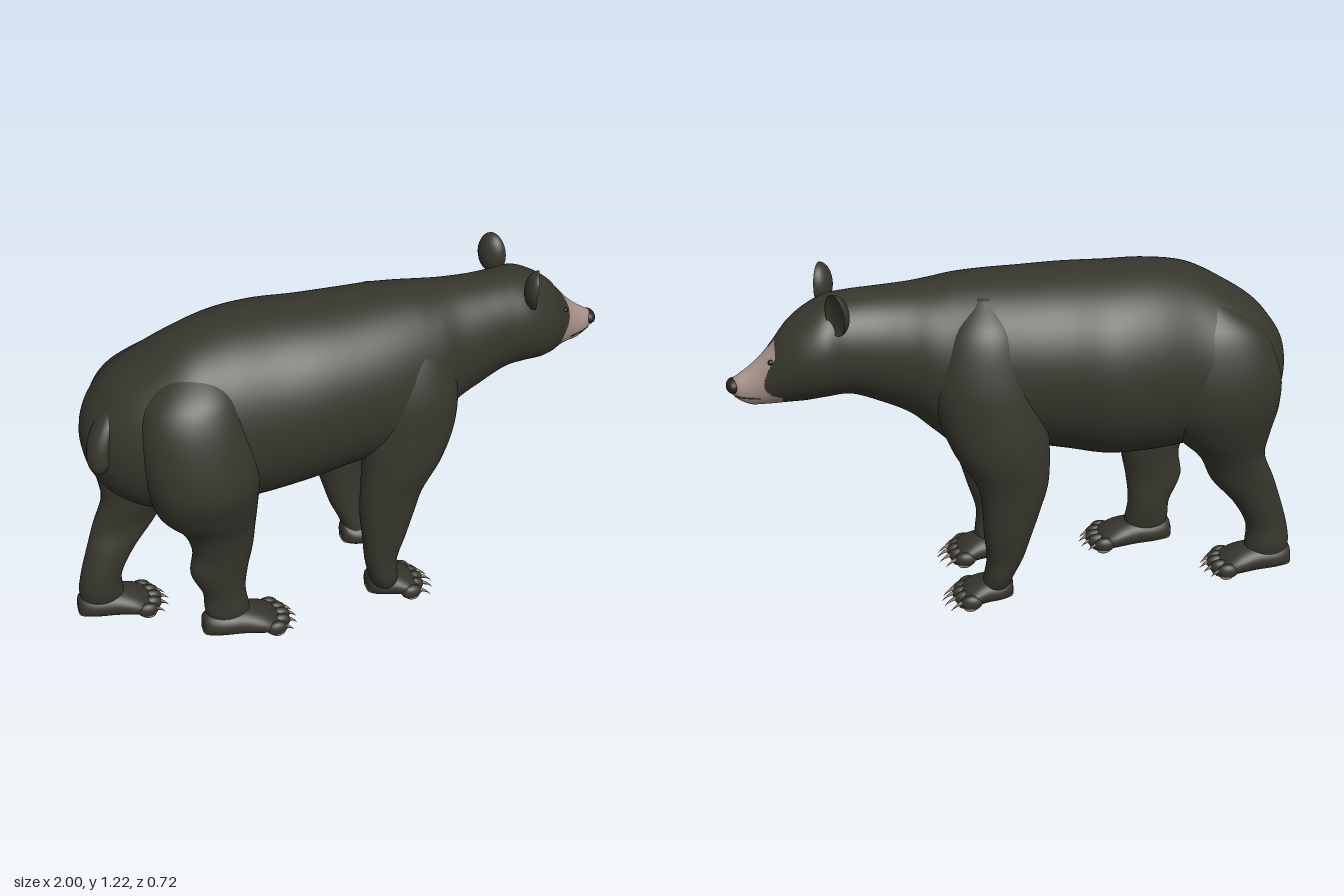
import * as THREE from 'three';

const mat = (name, color) => {
  const m = new THREE.MeshStandardMaterial({ color });
  m.name = name;
  return m;
};
const fur = mat('dark fur', 0x37362d);
const tan = mat('tan muzzle', 0xa8928a);
const pad = mat('paw pad', 0x9c8880);
const claw = mat('claw', 0x95847c);
const black = mat('nose black', 0x23211d);

// Smooths a list of sections [s, a0, a1, b0, b1] with a Catmull-Rom rule
function smooth(sections, steps) {
  const out = [], n = sections.length, get = i => sections[Math.min(n - 1, Math.max(0, i))];
  for (let k = 0; k <= (n - 1) * steps; k++) {
    const i = Math.min(n - 2, Math.floor(k / steps)), t = k / steps - i;
    const [p, q, r, s] = [get(i - 1), get(i), get(i + 1), get(i + 2)];
    out.push(q.map((v, c) => v + 0.5 * t * (r[c] - p[c]
      + t * (2 * p[c] - 5 * v + 4 * r[c] - s[c] + t * (3 * (v - r[c]) + s[c] - p[c])))));
  }
  return out;
}

// Elliptical loft: along +x the pairs are y and z limits, down -y they are x and z limits.
// Faces for which rule(centroid) holds get the second material; floor(x) flattens the underside.
function loft(name, sections, { axis = 'x', steps = 6, sides = 40, floor = () => -9, second = null, rule = null } = {}) {
  const rings = smooth(sections, steps), pos = [];
  const put = (s, a, b) => axis === 'x' ? pos.push(s, Math.max(floor(s), a), b) : pos.push(a, s, b);
  for (const [s, a0, a1, b0, b1] of rings)
    for (let j = 0; j < sides; j++) {
      const t = j / sides * Math.PI * 2;
      put(s, (a0 + a1) / 2 + Math.abs(a1 - a0) / 2 * Math.cos(t), (b0 + b1) / 2 + Math.abs(b1 - b0) / 2 * Math.sin(t));
    }
  const last = rings.length - 1, c0 = pos.length / 3;
  for (const r of [rings[0], rings[last]]) put(r[0], (r[1] + r[2]) / 2, (r[3] + r[4]) / 2);
  const lists = [[], []];
  const tri = (...v) => {
    const c = [0, 1, 2].map(k => (pos[v[0] * 3 + k] + pos[v[1] * 3 + k] + pos[v[2] * 3 + k]) / 3);
    lists[rule && rule(...c) ? 1 : 0].push(...v);
  };
  for (let j = 0; j < sides; j++) {
    const k = (j + 1) % sides;
    tri(c0, k, j);
    tri(c0 + 1, last * sides + j, last * sides + k);
    for (let i = 0; i < last; i++) {
      const a = i * sides, b = a + sides;
      tri(a + j, a + k, b + k);
      tri(a + j, b + k, b + j);
    }
  }
  const g = new THREE.BufferGeometry();
  g.setAttribute('position', new THREE.Float32BufferAttribute(pos, 3));
  g.setIndex([...lists[0], ...lists[1]]);
  g.addGroup(0, lists[0].length, 0);
  g.addGroup(lists[0].length, lists[1].length, 1);
  g.computeVertexNormals();
  const mesh = new THREE.Mesh(g, second ? [fur, second] : fur);
  mesh.name = name;
  return mesh;
}

function ball(name, material, at, size) {
  const m = new THREE.Mesh(new THREE.SphereGeometry(1, 20, 14), material);
  m.name = name;
  m.position.set(...at);
  m.scale.set(...size);
  return m;
}

// Curved claw pointing along +x and drooping
function clawGeometry(length) {
  const g = new THREE.ConeGeometry(0.0095, length, 8, 5).rotateZ(-Math.PI / 2).translate(length / 2, 0, 0);
  const p = g.attributes.position;
  for (let i = 0; i < p.count; i++) p.setY(i, p.getY(i) - 0.45 * p.getX(i) ** 2 / length);
  g.computeVertexNormals();
  return g;
}

// Paw from a raised heel to the toes, with pads and claws
function paw(name, heel, toe, z, halfWidth, height, clawLength) {
  const group = new THREE.Group(), L = toe - heel, w = halfWidth;
  group.name = name;
  const sole = x => 0.038 - 0.027 * (x - heel) / L;
  const row = (t, top, k) => [heel + L * t, sole(heel + L * t) - 0.012, top, z - w * k, z + w * k];
  group.add(loft(name + 'Foot', [
    row(0, 0.085, 0.25), row(0.04, 0.11, 0.52), row(0.2, height, 0.76), row(0.45, height, 0.86),
    row(0.7, height * 0.82, 1), row(0.88, 0.065, 0.92), row(0.95, 0.045, 0.7),
  ], { floor: sole, second: pad, sides: 32, rule: (x, y) => y < sole(x) + 0.01 }));
  for (let i = -2; i <= 2; i++) {
    const tz = z + i * w * 0.43, tx = toe - 0.025 - 0.007 * i * i;
    group.add(ball('toe', fur, [tx, 0.042, tz], [0.038, 0.028, w * 0.25]));
    group.add(ball('toePad', pad, [tx + 0.004, 0.024, tz], [0.026, 0.016, w * 0.19]));
    const c = new THREE.Mesh(clawGeometry(clawLength), claw);
    c.name = 'claw';
    c.position.set(tx + 0.027, 0.045, tz);
    c.rotation.z = -0.2;
    group.add(c);
  }
  return group;
}

// Cupped round ear: the front half of a ball is pushed inward
function ear(name, x, y, z, lean, turn) {
  const g = new THREE.SphereGeometry(1, 28, 20), p = g.attributes.position;
  for (let i = 0; i < p.count; i++) if (p.getX(i) > 0) p.setX(i, -0.35 * p.getX(i));
  g.scale(0.045, 0.075, 0.057);
  g.computeVertexNormals();
  const m = new THREE.Mesh(g, fur);
  m.name = name;
  m.position.set(x, y, z);
  m.rotation.set(lean, turn, 0);
  return m;
}

// Trunk, neck and head: x, bottom, top, right side, left side
const trunk = [
  [-0.94, 0.80, 0.86, -0.04, 0.03], [-0.925, 0.73, 0.92, -0.10, 0.08], [-0.89, 0.66, 0.98, -0.17, 0.14],
  [-0.83, 0.60, 1.05, -0.225, 0.2], [-0.74, 0.56, 1.11, -0.26, 0.255], [-0.6, 0.53, 1.18, -0.275, 0.29],
  [-0.45, 0.52, 1.21, -0.315, 0.28], [-0.3, 0.525, 1.213, -0.34, 0.272], [-0.15, 0.55, 1.21, -0.325, 0.265],
  [0, 0.575, 1.205, -0.32, 0.245], [0.12, 0.57, 1.203, -0.315, 0.225], [0.22, 0.58, 1.197, -0.30, 0.2],
  [0.30, 0.645, 1.185, -0.285, 0.17], [0.38, 0.715, 1.176, -0.262, 0.13], [0.48, 0.765, 1.17, -0.25, 0.10],
  [0.58, 0.805, 1.166, -0.255, 0.075], [0.66, 0.808, 1.158, -0.28, 0.062], [0.73, 0.802, 1.125, -0.278, 0.038],
  [0.79, 0.80, 1.08, -0.258, -0.008], [0.84, 0.80, 1.02, -0.235, -0.065], [0.88, 0.80, 0.975, -0.218, -0.1],
  [0.92, 0.803, 0.94, -0.21, -0.12], [0.96, 0.825, 0.912, -0.205, -0.135], [0.985, 0.85, 0.895, -0.19, -0.153],
];

// Point on the trunk surface at x and y, side +1 left or -1 right
const fine = smooth(trunk, 20);
function onSkin(x, y, side) {
  const r = fine.find(s => s[0] >= x);
  const k = (y - (r[1] + r[2]) / 2) / ((r[2] - r[1]) / 2);
  const half = (r[4] - r[3]) / 2 * Math.sqrt(Math.max(0, 1 - k * k));
  return new THREE.Vector3(x, y, (r[3] + r[4]) / 2 + side * half);
}

// Tan areas: muzzle with a blaze running up between the eyes, and the chest patch
const blaze = (x, y, z) => x > 0.8 && y < 1.035 && z < -0.06 - (y - 0.86) * 0.53
  && (z < -0.16 ? x > 0.81 + (y - 0.82) * 0.1 && z > -0.222 : x > 0.83 + (y - 0.82) * 0.12);
const chest = (x, y, z) => x > 0.2 && x < 0.35 && y > 0.588
  && ((z + 0.058) / 0.048) ** 2 + ((y - 0.598) / 0.038) ** 2 < 1;

// Legs: y, back, front, inner, outer
const legs = {
  frontLeftLeg: [
    [1.14, 0.12, 0.2, 0.02, 0.075], [1.05, 0.06, 0.3, 0, 0.165], [0.9, 0.02, 0.355, 0, 0.225],
    [0.75, 0.01, 0.35, 0, 0.24], [0.62, 0.01, 0.3, 0.03, 0.243], [0.5, 0, 0.23, 0.07, 0.226],
    [0.4, 0, 0.2, 0.075, 0.217], [0.3, 0.01, 0.17, 0.08, 0.21], [0.2, 0.02, 0.14, 0.083, 0.2],
    [0.12, 0.037, 0.145, 0.065, 0.198], [0.06, 0.05, 0.15, 0.06, 0.17]],
  frontRightLeg: [
    [1.16, 0.08, 0.17, -0.11, -0.185], [1.06, 0, 0.26, -0.1, -0.29], [0.9, -0.05, 0.31, -0.1, -0.342],
    [0.75, -0.08, 0.29, -0.1, -0.357], [0.62, -0.09, 0.24, -0.12, -0.357], [0.5, -0.085, 0.165, -0.16, -0.336],
    [0.4, -0.06, 0.145, -0.165, -0.325], [0.3, -0.03, 0.14, -0.17, -0.314], [0.2, 0, 0.13, -0.17, -0.295],
    [0.12, 0.035, 0.14, -0.16, -0.283], [0.06, 0.05, 0.15, -0.155, -0.255]],
  hindLeftLeg: [
    [1.16, -0.58, -0.5, 0.03, 0.1], [1.08, -0.7, -0.44, 0.03, 0.235], [1.0, -0.76, -0.415, 0.05, 0.3],
    [0.87, -0.78, -0.39, 0.05, 0.343], [0.73, -0.765, -0.38, 0.05, 0.36], [0.6, -0.73, -0.385, 0.06, 0.315],
    [0.5, -0.65, -0.39, 0.07, 0.265], [0.4, -0.615, -0.4, 0.08, 0.24], [0.3, -0.625, -0.42, 0.09, 0.225],
    [0.2, -0.585, -0.43, 0.09, 0.21], [0.12, -0.58, -0.42, 0.1, 0.213], [0.06, -0.56, -0.42, 0.12, 0.2]],
  hindRightLeg: [
    [1.1, -0.68, -0.58, -0.08, -0.155], [1.0, -0.83, -0.48, -0.05, -0.235], [0.85, -0.9, -0.44, -0.03, -0.278],
    [0.72, -0.905, -0.45, -0.02, -0.275], [0.6, -0.887, -0.54, 0, -0.235], [0.5, -0.877, -0.64, -0.01, -0.19],
    [0.4, -0.915, -0.69, -0.03, -0.16], [0.3, -0.95, -0.775, -0.015, -0.14], [0.2, -0.98, -0.83, -0.005, -0.13],
    [0.12, -0.99, -0.83, -0.01, -0.135], [0.06, -0.97, -0.83, -0.03, -0.12]],
};

export function createModel() {
  const bear = new THREE.Group();
  bear.name = 'bear';

  // Body with tan muzzle and chest patch
  bear.add(loft('body', trunk, {
    steps: 12, sides: 96, second: tan, rule: (...c) => blaze(...c) || chest(...c),
  }));

  // Legs and tail
  for (const [name, rows] of Object.entries(legs)) bear.add(loft(name, rows, { axis: 'y' }));
  bear.add(loft('tail', [
    [1.0, -0.85, -0.81, 0.05, 0.09], [0.94, -0.905, -0.83, 0.04, 0.135], [0.88, -0.935, -0.85, 0.045, 0.16],
    [0.82, -0.942, -0.862, 0.06, 0.168], [0.785, -0.932, -0.88, 0.078, 0.152], [0.772, -0.915, -0.9, 0.1, 0.125],
  ], { axis: 'y', sides: 20 }));

  // Paws
  bear.add(paw('frontLeftPaw', 0.035, 0.24, 0.108, 0.087, 0.11, 0.055));
  bear.add(paw('frontRightPaw', 0.035, 0.24, -0.205, 0.083, 0.11, 0.055));
  bear.add(paw('hindLeftPaw', -0.595, -0.285, 0.163, 0.082, 0.12, 0.04));
  bear.add(paw('hindRightPaw', -1.0, -0.705, -0.073, 0.082, 0.12, 0.04));

  // Ears
  bear.add(ear('leftEar', 0.675, 1.15, 0.036, 0.15, -0.35), ear('rightEar', 0.625, 1.15, -0.264, -0.15, 0.6));

  // Nose, eyes and mouth
  bear.add(ball('nose', black, [0.974, 0.875, -0.172], [0.026, 0.027, 0.038]));
  for (const side of [1, -1]) {
    bear.add(ball('eye', black, onSkin(0.843, 0.972, side).toArray(), [0.011, 0.009, 0.009]));
    const heights = [0.846, 0.843, 0.84, 0.838, 0.836];
    const line = [0.968, 0.955, 0.94, 0.91, 0.885].map((x, i) => onSkin(x, heights[i], side));
    const mouth = new THREE.Mesh(new THREE.TubeGeometry(new THREE.CatmullRomCurve3(line), 20, 0.003, 6), black);
    mouth.name = 'mouthLine';
    bear.add(mouth);
  }
  return bear;
}
